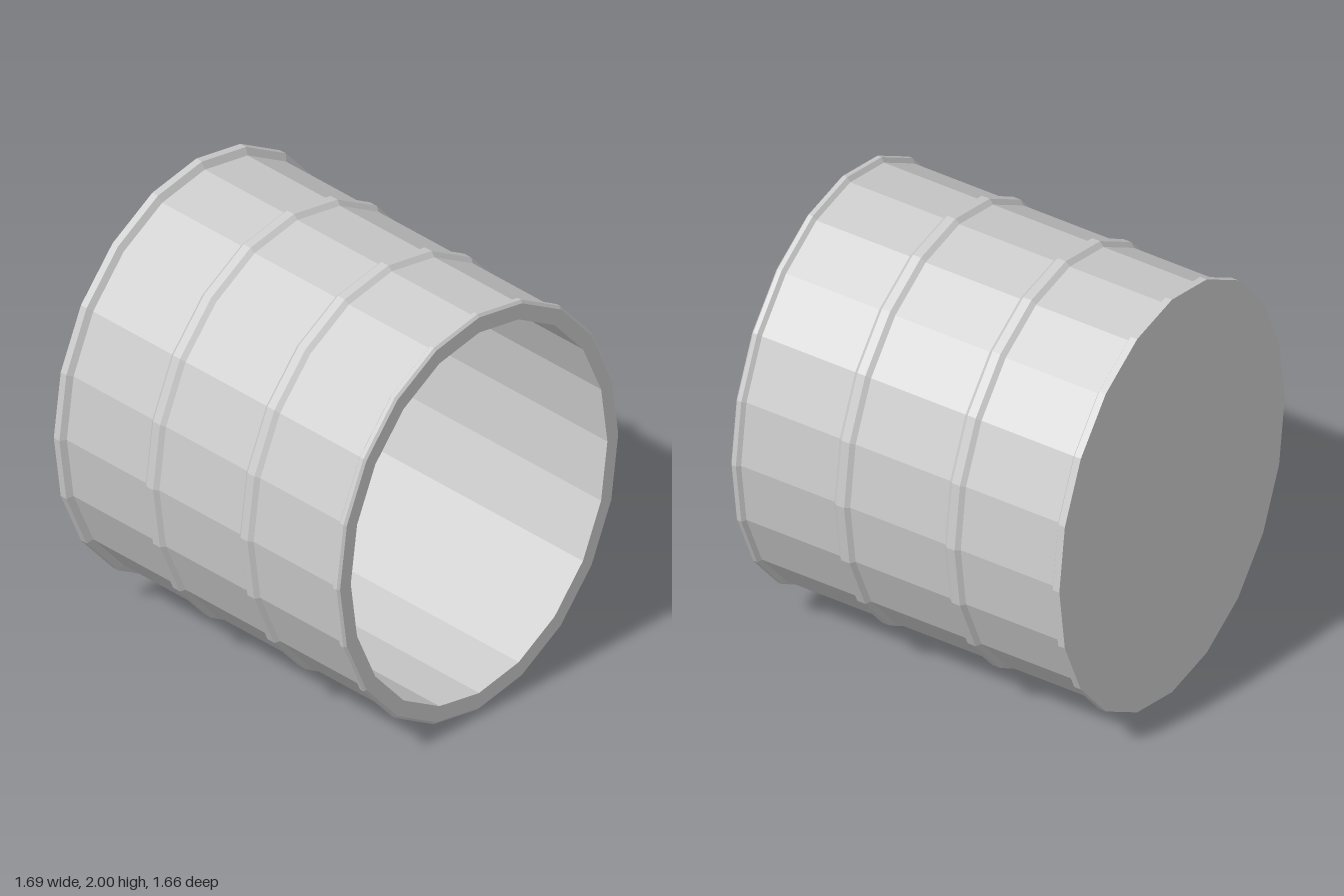
import * as THREE from 'three';

const SIDES = 20;
const WIDTH = 0.845; // oval cross-section: half width relative to half height

const material = new THREE.MeshStandardMaterial({ color: 0xcccccc, flatShading: true });

// Faceted oval part turned about the z axis from [radius, z] pairs
function turned(name, profile) {
  const points = profile.map(([r, z]) => new THREE.Vector2(r, z));
  const geometry = new THREE.LatheGeometry(points, SIDES)
    .rotateX(Math.PI / 2)
    .scale(WIDTH, 1, 1)
    .toNonIndexed();
  geometry.computeVertexNormals();
  const mesh = new THREE.Mesh(geometry, material);
  mesh.name = name;
  return mesh;
}

// Raised hoop with bevelled flanks, centred at z
const hoop = (z) => [[0.968, z - 0.04], [0.988, z - 0.02], [0.988, z + 0.02], [0.968, z + 0.04]];

export function createModel() {
  const barrel = new THREE.Group();
  barrel.name = 'barrel';

  // Closed back end with its flared rim
  barrel.add(turned('backRim', [[0, -0.83], [1, -0.83], [1, -0.797], [0.968, -0.78]]));

  // Outer wall with two hoops and the bevelled front rim
  barrel.add(turned('outerWall', [
    [0.968, -0.78],
    ...hoop(-0.277),
    ...hoop(0.277),
    [0.968, 0.785], [0.988, 0.8], [0.988, 0.82], [0.975, 0.83], [0.9, 0.83],
  ]));

  // Hollow inside, open at the front, down to the floor
  barrel.add(turned('innerWall', [[0.9, 0.83], [0.9, -0.795]]));
  barrel.add(turned('innerFloor', [[0.9, -0.795], [0, -0.795]]));

  barrel.position.y = 1;
  const model = new THREE.Group();
  model.name = 'openBarrel';
  model.add(barrel);
  return model;
}
